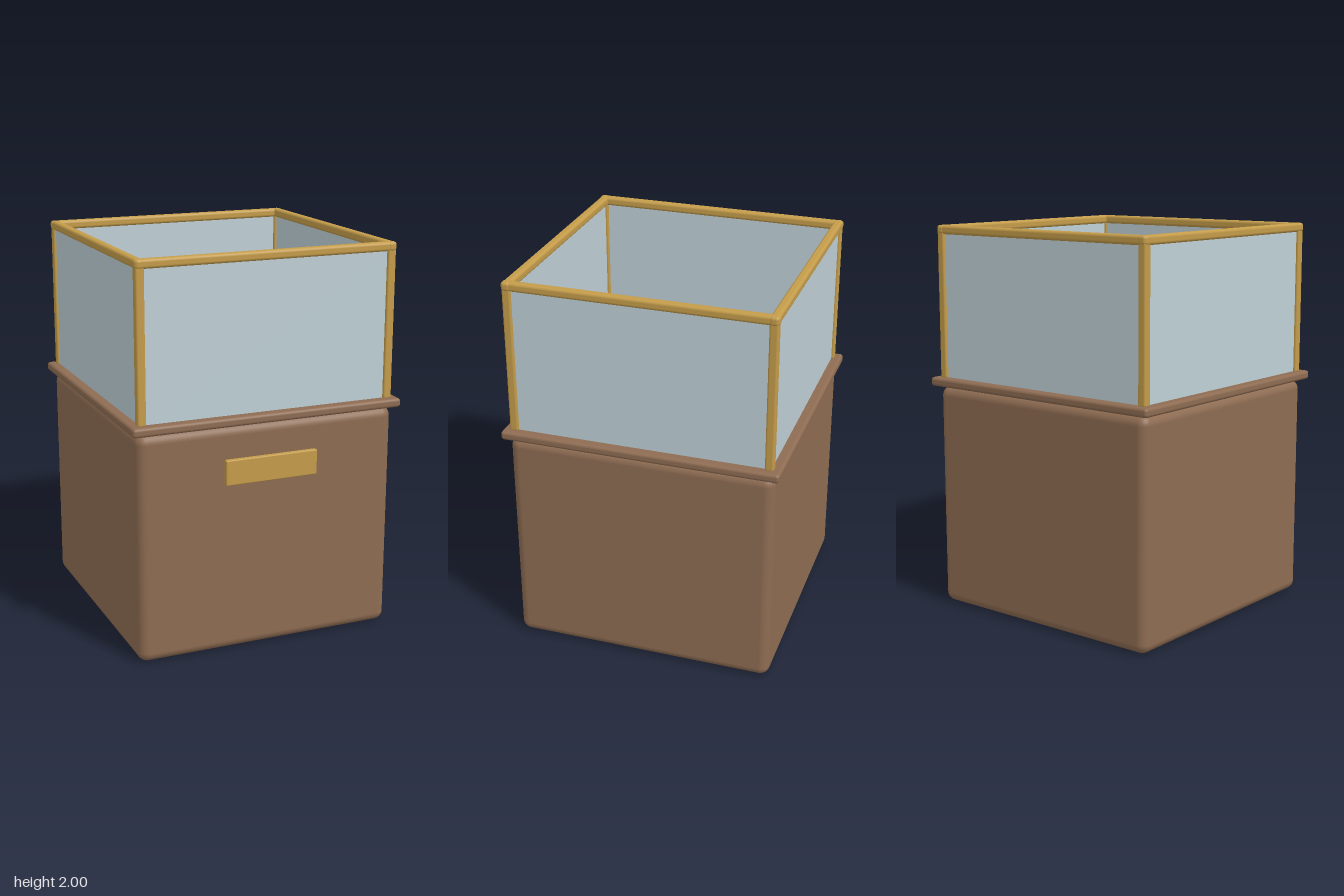
import * as THREE from 'three';
import { RoundedBoxGeometry } from 'three/addons/geometries/RoundedBoxGeometry.js';

function material(name, color) {
  const m = new THREE.MeshStandardMaterial({ color });
  m.name = name;
  return m;
}

export function createModel() {
  const wood = material('wood', 0x8e6c52);
  const brass = material('brass', 0xc49c4a);
  const glass = material('glass', 0xbfd0d6);
  const fabric = material('fabric', 0x7a4e5b);

  const model = new THREE.Group();
  model.name = 'displayCase';

  // Rounded box given by its size and centre
  function box(name, mat, [w, h, d], [x, y, z], radius, parent = model) {
    const geometry = radius
      ? new RoundedBoxGeometry(w, h, d, 4, radius)
      : new THREE.BoxGeometry(w, h, d);
    const mesh = new THREE.Mesh(geometry, mat);
    mesh.name = name;
    mesh.position.set(x, y, z);
    parent.add(mesh);
    return mesh;
  }

  // Plinth, ledge and lining
  box('plinth', wood, [1.36, 1.165, 1.36], [0, 0.5875, 0], 0.05);
  box('ledge', wood, [1.42, 0.046, 1.42], [0, 1.194, 0], 0.016);
  box('displayPad', fabric, [1.16, 0.03, 1.16], [0, 1.225, 0], 0.008);

  // Plate on the front
  box('frontPlate', brass, [0.485, 0.128, 0.028], [0, 0.945, 0.703], 0.006);

  // Four sides of the open case: pane, top rail and corner post
  const reach = 0.651;
  for (let i = 0; i < 4; i++) {
    const side = new THREE.Group();
    side.name = 'caseSide' + (i + 1);
    side.rotation.y = i * Math.PI / 2;
    box('pane', glass, [1.29, 0.75, 0.016], [0, 1.59, reach], 0, side);
    box('topRail', brass, [1.354, 0.046, 0.046], [0, 1.977, reach], 0.015, side);
    box('cornerPost', brass, [0.044, 0.77, 0.044], [reach, 1.597, reach], 0.01, side);
    model.add(side);
  }

  // Centre the depth, which the front plate extends slightly
  for (const part of model.children) part.position.z -= 0.004;
  return model;
}
